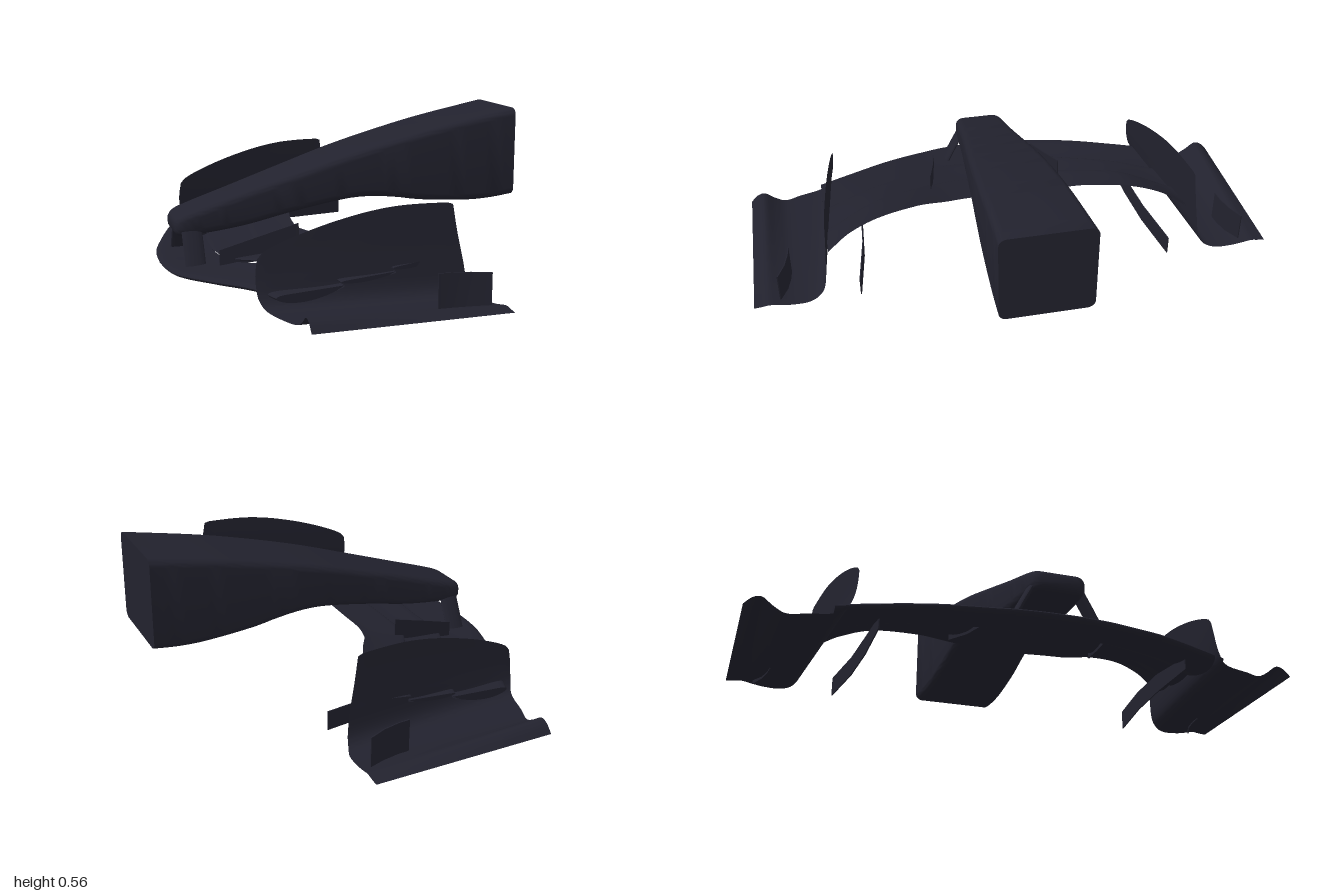
import * as THREE from 'three';
import { toCreasedNormals } from 'three/addons/utils/BufferGeometryUtils.js';

const carbon = new THREE.MeshStandardMaterial({ color: 0x22222e, side: THREE.DoubleSide });
carbon.name = 'darkCarbon';

// smooth curve through [position, value] pairs
function curve(pairs) {
  const n = pairs.length;
  const slope = (i) => {
    const a = pairs[Math.max(i - 1, 0)], b = pairs[Math.min(i + 1, n - 1)];
    return (b[1] - a[1]) / (b[0] - a[0]);
  };
  return (t) => {
    if (t <= pairs[0][0]) return pairs[0][1];
    if (t >= pairs[n - 1][0]) return pairs[n - 1][1];
    let i = 0;
    while (t > pairs[i + 1][0]) i++;
    const [x0, y0] = pairs[i], [x1, y1] = pairs[i + 1], h = x1 - x0, s = (t - x0) / h;
    return y0 * (1 + 2 * s) * (1 - s) ** 2 + slope(i) * h * s * (1 - s) ** 2
      + y1 * s * s * (3 - 2 * s) + slope(i + 1) * h * s * s * (s - 1);
  };
}

// surface through rows of points; caps close the first and last row
function loft(rows, capped = false) {
  const m = rows[0].length, pos = rows.flat(2), index = [];
  for (let i = 0; i < rows.length - 1; i++) {
    for (let j = 0; j < m - 1; j++) {
      const a = i * m + j, b = a + m;
      index.push(a, a + 1, b, b, a + 1, b + 1);
    }
  }
  if (capped) {
    const last = (rows.length - 1) * m;
    for (let j = 1; j < m - 2; j++) {
      index.push(0, j + 1, j, last, last + j, last + j + 1);
    }
  }
  const g = new THREE.BufferGeometry();
  g.setAttribute('position', new THREE.Float32BufferAttribute(pos, 3));
  g.setIndex(index);
  g.computeVertexNormals();
  return toCreasedNormals(g, 0.6);
}

function add(group, name, geometry) {
  const mesh = new THREE.Mesh(geometry, carbon);
  mesh.name = name;
  group.add(mesh);
  return mesh;
}

// ring of a rounded rectangle lying across x
function roundedRing(x, half, low, high, r) {
  const ring = [], corners = [[1, 1], [-1, 1], [-1, -1], [1, -1]];
  corners.forEach(([sz, sy], k) => {
    for (let i = 0; i <= 6; i++) {
      const a = (k + i / 6) * Math.PI / 2;
      ring.push([x, (sy > 0 ? high - r : low + r) + r * Math.sin(a), sz * (half - r) + r * Math.cos(a)]);
    }
  });
  ring.push([...ring[0]]);
  return ring;
}

function noseCone() {
  const top = curve([[-0.645, 0.19], [-0.635, 0.204], [-0.6, 0.22], [-0.4, 0.285], [-0.2, 0.348], [0, 0.41], [0.2, 0.463], [0.4, 0.51], [0.69, 0.565]]);
  const low = curve([[-0.645, 0.153], [-0.635, 0.14], [-0.6, 0.137], [-0.4, 0.16], [-0.2, 0.205], [0, 0.242], [0.1, 0.247], [0.2, 0.238], [0.3, 0.222], [0.5, 0.208], [0.6, 0.211], [0.69, 0.222]]);
  const half = curve([[-0.645, 0.07], [-0.635, 0.088], [-0.6, 0.1], [-0.4, 0.11], [-0.2, 0.127], [0, 0.143], [0.2, 0.155], [0.69, 0.17]]);
  const rows = [];
  for (let i = 0; i <= 48; i++) {
    const x = -0.645 + 1.335 * (i / 48) ** 1.5;
    const r = Math.min(0.028, (top(x) - low(x)) * 0.42);
    rows.push(roundedRing(x, half(x), low(x), top(x), r));
  }
  return loft(rows, true);
}

// full-span wing element between a leading and trailing edge
function wingElement(lx, ly, tx, ty, thick, sag) {
  const rows = [];
  for (let i = 0; i <= 72; i++) {
    const z = -0.71 + 1.42 * i / 72, a = Math.abs(z), row = [];
    for (let j = 0; j <= 28; j++) {
      const w = j / 14 - 1, c = w * w, side = w < 0 ? 1 : -1;
      const body = thick * 2.6 * (Math.sqrt(c) * (1 - c)) * 0.5 + 0.002 * Math.sqrt(c);
      row.push([lx(a) + (tx(a) - lx(a)) * c,
        ly(a) + (ty(a) - ly(a)) * c - sag * 4 * c * (1 - c) + side * body, z]);
    }
    rows.push(row);
  }
  return loft(rows, true);
}

// thin upright plate: list of [x, z, bottom, top]
function plate(stations, thick = 0.004) {
  const rows = stations.map(([x, z, b, t]) => [
    [x, b, z - thick / 2], [x, t, z - thick / 2], [x, t, z + thick / 2], [x, b, z + thick / 2], [x, b, z - thick / 2]]);
  return loft(rows, true);
}

// endplate wall curving outward into an arched footplate
function endplate() {
  const top = curve([[-0.49, 0.18], [-0.47, 0.205], [-0.4, 0.24], [-0.3, 0.277], [-0.2, 0.306], [-0.1, 0.328], [0, 0.34], [0.15, 0.341], [0.17, 0.335]]);
  const wallZ = (x) => 0.645 + 0.1 * (x + 0.49);
  // each line: front x, rear x, then z and y along it
  const lines = [
    [-0.485, 0.17, wallZ, top],
    [-0.492, 0.185, (x) => wallZ(x) + 0.004, (x) => 0.06 + (top(x) - 0.06) * 0.66],
    [-0.492, 0.203, (x) => wallZ(x) + 0.01, (x) => 0.06 + (top(x) - 0.06) * 0.33],
    [-0.488, 0.218, (x) => wallZ(x) + 0.022, () => 0.062],
    [-0.475, 0.228, (x) => wallZ(x) + 0.046, () => 0.034],
    [-0.443, 0.243, () => 0.8, () => 0.027],
    [-0.417, 0.25, () => 0.865, () => 0.031],
    [-0.415, 0.253, () => 0.905, (x) => 0.052 - 0.02 * (x + 0.41)],
    [-0.415, 0.255, () => 0.945, (x) => 0.08 - 0.05 * (x + 0.41)],
    [-0.415, 0.255, () => 0.972, (x) => 0.073 - 0.045 * (x + 0.41)],
    [-0.415, 0.255, () => 1, (x) => 0.046 - 0.008 * (x + 0.41)],
  ];
  const rows = [];
  for (let i = 0; i <= 40; i++) {
    const path = new THREE.CatmullRomCurve3(lines.map(([a, b, z, y]) => {
      const x = a + (b - a) * i / 40;
      return new THREE.Vector3(x, y(x), z(x));
    }));
    rows.push(path.getPoints(50).map((p) => p.toArray()));
  }
  return loft(rows);
}

// leaning pylon with a streamlined section
function pylon() {
  const rows = [[0.035, 0.152], [0.09, 0.125], [0.165, 0.085]].map(([y, z]) => {
    const ring = [];
    for (let j = 0; j <= 24; j++) {
      const a = j / 24 * Math.PI * 2;
      ring.push([-0.585 + 0.038 * Math.cos(a), y, z + 0.012 * Math.sin(a)]);
    }
    return ring;
  });
  return loft(rows, true);
}

export function createModel() {
  const model = new THREE.Group();
  model.name = 'frontWingAssembly';
  add(model, 'noseCone', noseCone());

  // swept main plane and two flaps, each overlapping the one ahead
  const edgeX = [
    curve([[0, -0.692], [0.1, -0.686], [0.2, -0.667], [0.4, -0.587], [0.6, -0.482], [0.71, -0.44]]),
    curve([[0, -0.48], [0.2, -0.46], [0.4, -0.355], [0.66, -0.225], [0.71, -0.21]]),
    curve([[0, -0.32], [0.2, -0.29], [0.4, -0.19], [0.66, -0.05], [0.71, -0.03]]),
    curve([[0, -0.16], [0.155, -0.14], [0.3, -0.08], [0.5, 0.035], [0.71, 0.12]]),
  ];
  const edgeY = [
    curve([[0, 0.025], [0.2, 0.03], [0.4, 0.052], [0.6, 0.072], [0.71, 0.07]]),
    curve([[0, 0.042], [0.2, 0.058], [0.4, 0.09], [0.55, 0.102], [0.71, 0.09]]),
    curve([[0, 0.075], [0.2, 0.095], [0.4, 0.14], [0.52, 0.155], [0.71, 0.12]]),
    curve([[0, 0.115], [0.2, 0.14], [0.35, 0.19], [0.5, 0.224], [0.62, 0.207], [0.71, 0.155]]),
  ];
  ['mainPlane', 'middleFlap', 'upperFlap'].forEach((name, k) => {
    const gap = k ? 0.01 : 0;
    add(model, name, wingElement(
      (a) => edgeX[k](a) - gap, (a) => edgeY[k](a) + gap * 1.3,
      edgeX[k + 1], edgeY[k + 1], k ? 0.012 : 0.03, k ? 0.006 : 0.012));
  });

  // paired parts, mirrored across the centre line
  for (const [side, s] of [['left', 1], ['right', -1]]) {
    const half = new THREE.Group();
    half.name = side === 'left' ? 'frontSideParts' : 'backSideParts';
    half.scale.z = s;
    add(half, 'endplate', endplate());
    add(half, 'pylon', pylon());
    add(half, 'footplateFin', plate([[0.055, 0.858, 0.025, 0.148], [0.1, 0.862, 0.025, 0.148], [0.16, 0.876, 0.025, 0.148], [0.222, 0.903, 0.025, 0.148]]));
    add(half, 'underStrake', plate([[-0.425, 0.56, 0.016, 0.06], [-0.2, 0.561, 0.016, 0.085], [0, 0.573, 0.016, 0.088], [0.225, 0.605, 0.016, 0.088]]));
    add(half, 'innerFin', plate([[-0.512, 0.218, 0.045, 0.11], [-0.37, 0.24, 0.065, 0.155], [-0.23, 0.268, 0.1, 0.2]]));
    model.add(half);
  }
  return model;
}
